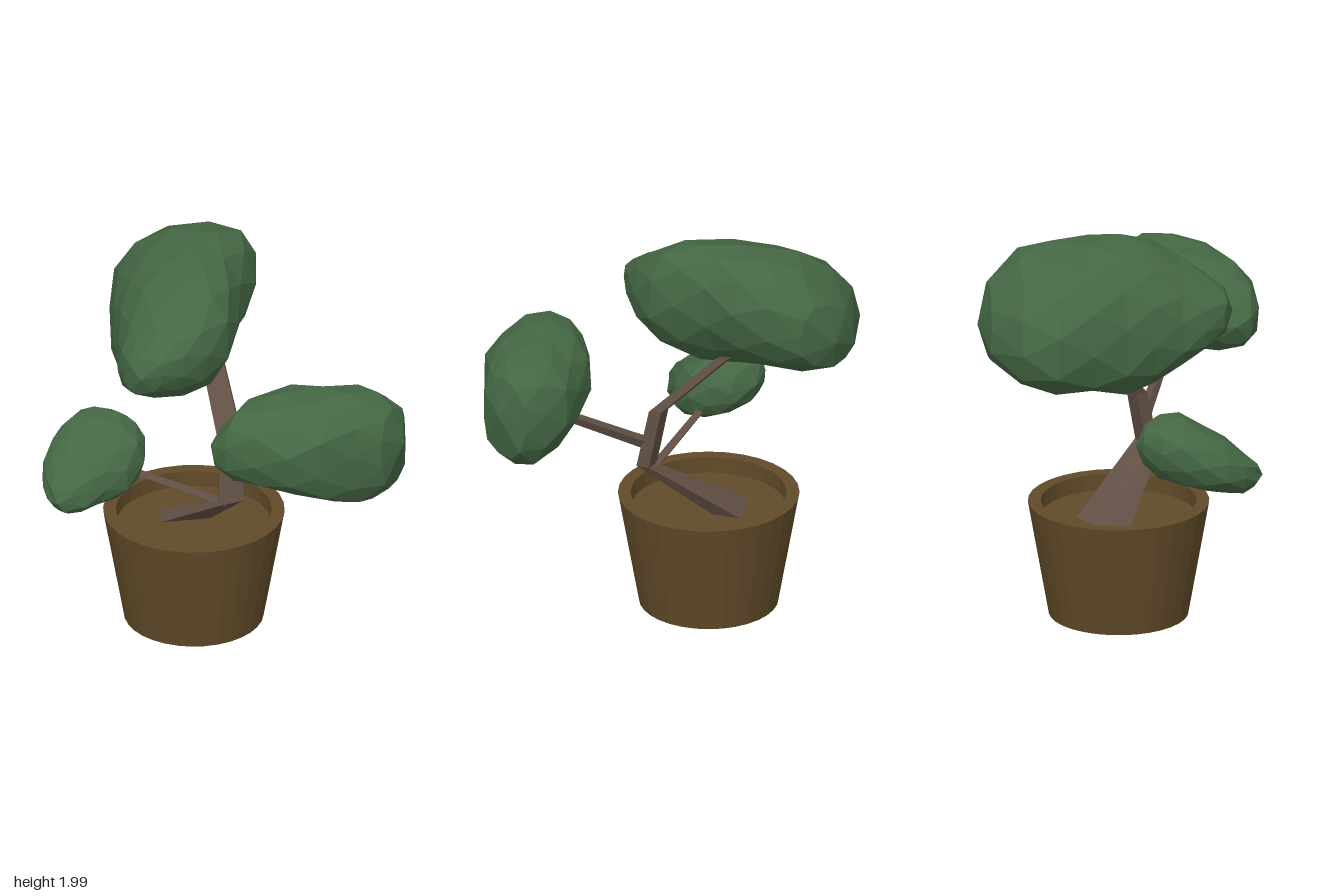
import * as THREE from 'three';

const V = (x, y, z) => new THREE.Vector3(x, y, z);

// Skin a row of rings (each counter-clockwise about the travel direction), with flat facets
function loft(rings, start, end) {
  const pos = [];
  const tri = (...p) => p.forEach(v => pos.push(v.x, v.y, v.z));
  const n = rings[0].length, last = rings[rings.length - 1];
  for (let i = 0; i < n; i++) {
    const j = (i + 1) % n;
    tri(start, rings[0][j], rings[0][i]);
    for (let k = 0; k < rings.length - 1; k++) {
      const a = rings[k], b = rings[k + 1];
      tri(a[i], a[j], b[i]);
      tri(a[j], b[j], b[i]);
    }
    tri(end, last[i], last[j]);
  }
  const g = new THREE.BufferGeometry();
  g.setAttribute('position', new THREE.Float32BufferAttribute(pos, 3));
  g.computeVertexNormals();
  return g;
}

// Faceted leaf clump: rows are [t, uMin, uMax, vMin, vMax] along the axis;
// lean tilts each section, raising v towards +u
function clump(rows, start, end, toPoint, lean, seed) {
  const rand = () => {
    seed = (seed * 16807) % 2147483647;
    return seed / 2147483647 - 0.5;
  };
  const n = 11;
  const soft = c => Math.sign(c) * Math.pow(Math.abs(c), 0.86);
  const rings = rows.map(([t, u0, u1, v0, v1], k) => Array.from({ length: n }, (_, i) => {
    const a = (i + k * 0.5) / n * Math.PI * 2;
    const s = 1.01 + rand() * 0.05;
    const du = soft(Math.cos(a)) * s * (u1 - u0) / 2;
    const dv = soft(Math.sin(a)) * s * (v1 - v0) / 2;
    return toPoint(t + rand() * 0.02, (u0 + u1) / 2 + du, (v0 + v1) / 2 + dv + lean * du);
  }));
  return loft(rings, V(...start), V(...end));
}

export function createModel() {
  const group = new THREE.Group();
  const material = (name, color) => {
    const m = new THREE.MeshStandardMaterial({ color });
    m.name = name;
    return m;
  };
  const clay = material('clay brown', 0x614b29);
  const bark = material('bark', 0x615044);
  const leaf = material('leaf green', 0x456844);
  const add = (name, geometry, mat) => {
    const mesh = new THREE.Mesh(geometry, mat);
    mesh.name = name;
    group.add(mesh);
    return mesh;
  };

  // Tapered pot with a rim, hollow down to the soil
  const profile = [[0, 0], [0.35, 0], [0.455, 0.595], [0.39, 0.595], [0.39, 0.51], [0, 0.51]];
  const potShape = new THREE.LatheGeometry(profile.map(p => new THREE.Vector2(...p)), 32).toNonIndexed();
  potShape.computeVertexNormals();
  add('pot', potShape, clay).position.set(-0.32, 0, -0.01);

  // Bent four-sided trunk: [x, y, z, scale]
  const bends = [
    [-0.42, 0.5, -0.095, 2.3],
    [-0.04, 0.79, 0.15, 1.05],
    [-0.07, 1.1, 0.095, 1],
    [-0.285, 1.4, -0.15, 0.88],
  ];
  const corners = [[1, -1], [1, 1], [-1, 1], [-1, -1]];
  const trunkRings = bends.map(([x, y, z, s]) => corners.map(([p, q]) =>
    V(x + s * (0.053 * q + 0.014 * p), y + 0.015 * q, z + s * (0.028 * p - 0.026 * q))));
  add('trunk', loft(trunkRings, V(...bends[0]), V(...bends[3])), bark);

  // Thin side branches
  const branch = (name, from, to, r) => {
    const dir = to.clone().sub(from);
    const g = new THREE.CylinderGeometry(r * 0.8, r, dir.length(), 4).toNonIndexed();
    g.computeVertexNormals();
    const mesh = add(name, g, bark);
    mesh.position.copy(from).addScaledVector(dir, 0.5);
    mesh.quaternion.setFromUnitVectors(V(0, 1, 0), dir.normalize());
  };
  branch('leftBranch', V(-0.06, 0.9, 0.12), V(0.45, 1.2, 0.31), 0.033);
  branch('rightBranch', V(-0.07, 0.76, 0.14), V(-0.62, 0.92, 0.27), 0.027);

  // Leaf clumps
  const alongZ = (t, u, v) => V(u, v, t);
  const alongX = (t, u, v) => V(t, u, v);
  add('topFoliage', clump([
    [-0.67, -0.69, -0.31, 1.46, 1.80],
    [-0.52, -0.87, -0.20, 1.38, 1.93],
    [-0.35, -0.92, -0.15, 1.34, 1.97],
    [-0.16, -0.85, -0.12, 1.32, 1.97],
    [0.00, -0.77, -0.08, 1.28, 1.96],
    [0.15, -0.69, -0.05, 1.31, 1.93],
    [0.30, -0.60, -0.10, 1.38, 1.84],
    [0.42, -0.54, -0.17, 1.45, 1.77],
    [0.52, -0.46, -0.25, 1.51, 1.71],
  ], [-0.5, 1.61, -0.73], [-0.35, 1.61, 0.56], alongZ, 0.26, 7), leaf);
  add('leftFoliage', clump([
    [0.11, 1.25, 1.45, 0.49, 0.69],
    [0.20, 1.19, 1.58, 0.32, 0.73],
    [0.35, 1.15, 1.63, 0.16, 0.72],
    [0.52, 1.12, 1.63, 0.06, 0.69],
    [0.66, 1.07, 1.64, 0.01, 0.61],
    [0.78, 1.05, 1.62, 0.03, 0.48],
    [0.89, 1.13, 1.56, 0.08, 0.37],
  ], [0.06, 1.36, 0.61], [0.945, 1.38, 0.22], alongX, 0, 23), leaf);
  add('rightFoliage', clump([
    [0.09, -0.82, -0.58, 0.93, 1.12],
    [0.17, -0.89, -0.50, 0.86, 1.17],
    [0.28, -0.92, -0.465, 0.81, 1.17],
    [0.40, -0.94, -0.49, 0.79, 1.11],
    [0.50, -0.92, -0.57, 0.78, 1.06],
    [0.59, -0.87, -0.63, 0.78, 0.98],
    [0.65, -0.81, -0.69, 0.81, 0.93],
  ], [-0.72, 1.03, 0.05], [-0.75, 0.87, 0.685], alongZ, -0.1, 41), leaf);

  return group;
}
